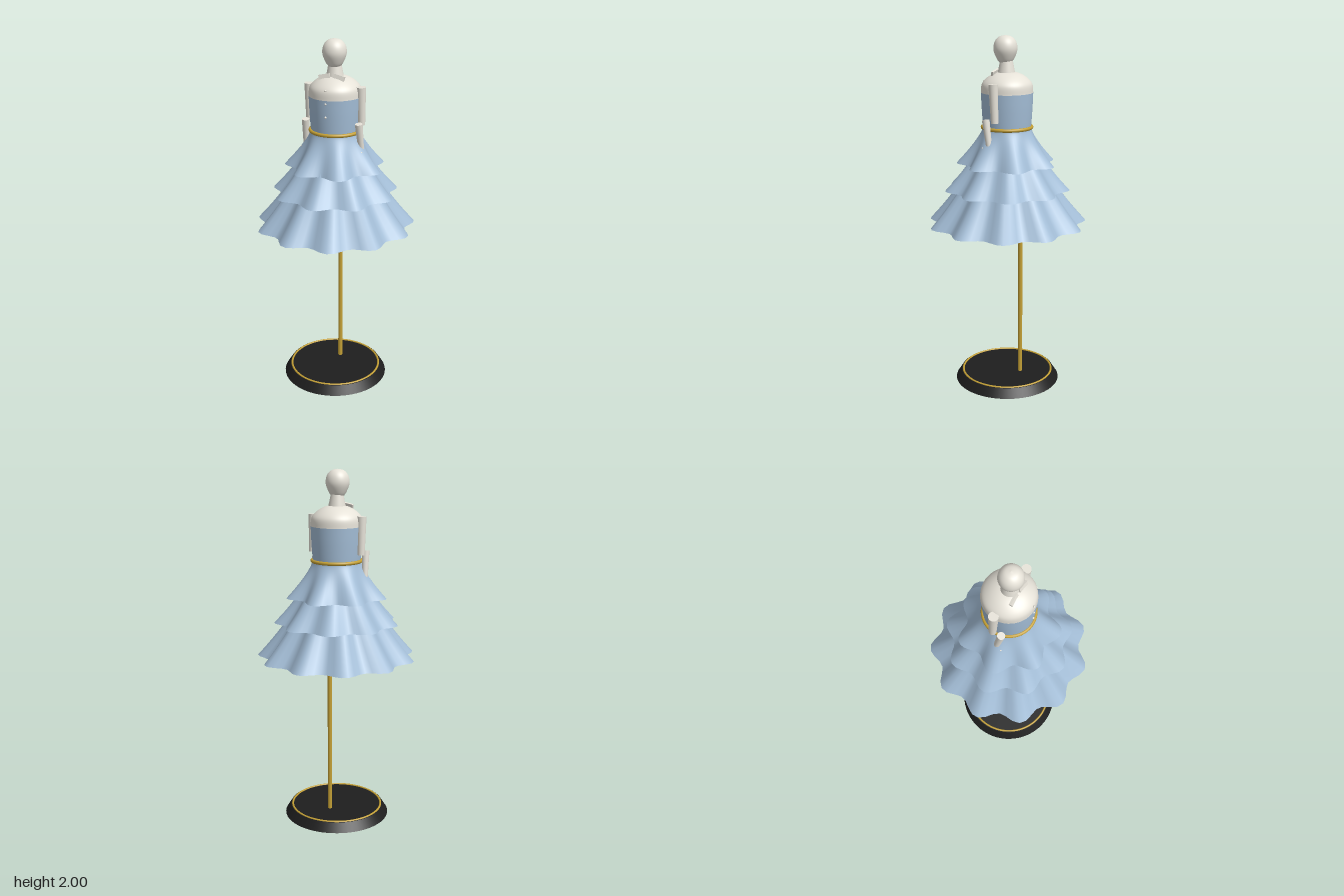
import * as THREE from 'three';
import { ParametricGeometry } from 'three/addons/geometries/ParametricGeometry.js';

const paint = (name, color, side = THREE.FrontSide) => {
  const m = new THREE.MeshStandardMaterial({ color, side });
  m.name = name;
  return m;
};

export function createModel() {
  const ivory = paint('ivory', 0xe6e2d8, THREE.DoubleSide);
  const blue = paint('dusty blue', 0xa3bdd6, THREE.DoubleSide);
  const gold = paint('gold', 0xc4a035);
  const black = paint('black', 0x1e1e1e);

  const model = new THREE.Group();
  model.name = 'dressForm';
  model.position.z = 0.01;

  const add = (name, geometry, material, x = 0, y = 0, z = 0) => {
    const mesh = new THREE.Mesh(geometry, material);
    mesh.name = name;
    mesh.position.set(x, y, z);
    model.add(mesh);
    return mesh;
  };
  // Smooth turned solid from [radius, height] points, bottom to top
  const turned = (points) => {
    const curve = new THREE.SplineCurve(points.map(([r, y]) => new THREE.Vector2(r, y)));
    const profile = curve.getPoints(24).map((p) => new THREE.Vector2(Math.max(p.x, 0), p.y));
    return new THREE.LatheGeometry(profile, 48);
  };
  const ring = (radius, tube) => new THREE.TorusGeometry(radius, tube, 10, 72).rotateX(Math.PI / 2);
  // Tapered limb between two points
  const limb = (name, from, to, rTop, rBottom) => {
    const a = new THREE.Vector3(...from), b = new THREE.Vector3(...to);
    const axis = a.clone().sub(b);
    const mesh = add(name, new THREE.CylinderGeometry(rTop, rBottom, axis.length(), 20), ivory);
    mesh.position.copy(a).add(b).multiplyScalar(0.5);
    mesh.quaternion.setFromUnitVectors(new THREE.Vector3(0, 1, 0), axis.normalize());
  };

  // Stand
  add('standBase', new THREE.CylinderGeometry(0.27, 0.302, 0.05, 64), black, 0, 0.025);
  add('standTrim', ring(0.26, 0.006), gold, 0, 0.05);
  add('standPole', new THREE.CylinderGeometry(0.0125, 0.0125, 1.05, 20), gold, 0, 0.565, -0.085);

  // Rippled skirt tiers, each flaring from the waist to its own hem
  const waistY = 1.5, waistR = 0.134;
  const tiers = [
    { name: 'skirtTopTier', hem: 1.3, radius: 0.253, ripple: -0.03, waves: 7, flare: 1.25 },
    { name: 'skirtMiddleTier', hem: 1.155, radius: 0.327, ripple: 0.025, waves: 9, flare: 1.6 },
    { name: 'skirtBottomTier', hem: 0.96, radius: 0.422, ripple: -0.028, waves: 11, flare: 1.6 },
  ];
  for (const { name, hem, radius, ripple, waves, flare } of tiers) {
    const surface = (u, t, target) => {
      const angle = -u * Math.PI * 2;
      const r = waistR + (radius - waistR) * t ** flare + ripple * t ** 1.4 * Math.cos(waves * angle);
      target.set(r * Math.sin(angle), waistY + (hem - waistY) * t, r * Math.cos(angle));
    };
    add(name, new ParametricGeometry(surface, 72, 16), blue);
  }

  // Torso: blue bodice below, bare bust above
  add('bodice', turned([[0.131, 1.49], [0.135, 1.54], [0.14, 1.62], [0.143, 1.695]]), blue);
  add('bust', turned([[0.143, 1.695], [0.137, 1.742], [0.105, 1.777], [0.06, 1.8], [0.0, 1.81]]), ivory);
  add('belt', ring(0.136, 0.0095), gold, 0, 1.505);

  // Neck and egg-shaped head
  add('neck', new THREE.CylinderGeometry(0.034, 0.05, 0.085, 32), ivory, 0, 1.828, 0.004);
  add('head', turned([[0, 1.848], [0.032, 1.855], [0.052, 1.885], [0.065, 1.925],
    [0.058, 1.965], [0.034, 1.992], [0, 2.0]]), ivory, 0, 0, 0.01);

  // Front buttons
  for (const y of [1.748, 1.677, 1.605]) {
    add('button', new THREE.SphereGeometry(0.006, 12, 8), ivory, 0, y, 0.142);
  }

  // Collar flaps and arms, mirrored
  for (const side of [-1, 1]) {
    const flap = add('collarFlap', new THREE.BoxGeometry(0.064, 0.026, 0.012), ivory, side * 0.041, 1.803, 0.052);
    flap.rotation.set(-0.25, 0, -side * 0.22);
    limb('upperArm', [side * 0.149, 1.752, 0.005], [side * 0.15, 1.545, -0.003], 0.026, 0.02);
    limb('forearm', [side * 0.153, 1.562, 0.05], [side * 0.16, 1.415, 0.026], 0.021, 0.016);
    add('cuffBead', new THREE.SphereGeometry(0.006, 10, 8), ivory, side * 0.172, 1.408, 0.058);
  }

  const root = new THREE.Group();
  root.name = 'mannequinInTieredDress';
  root.add(model);
  return root;
}
